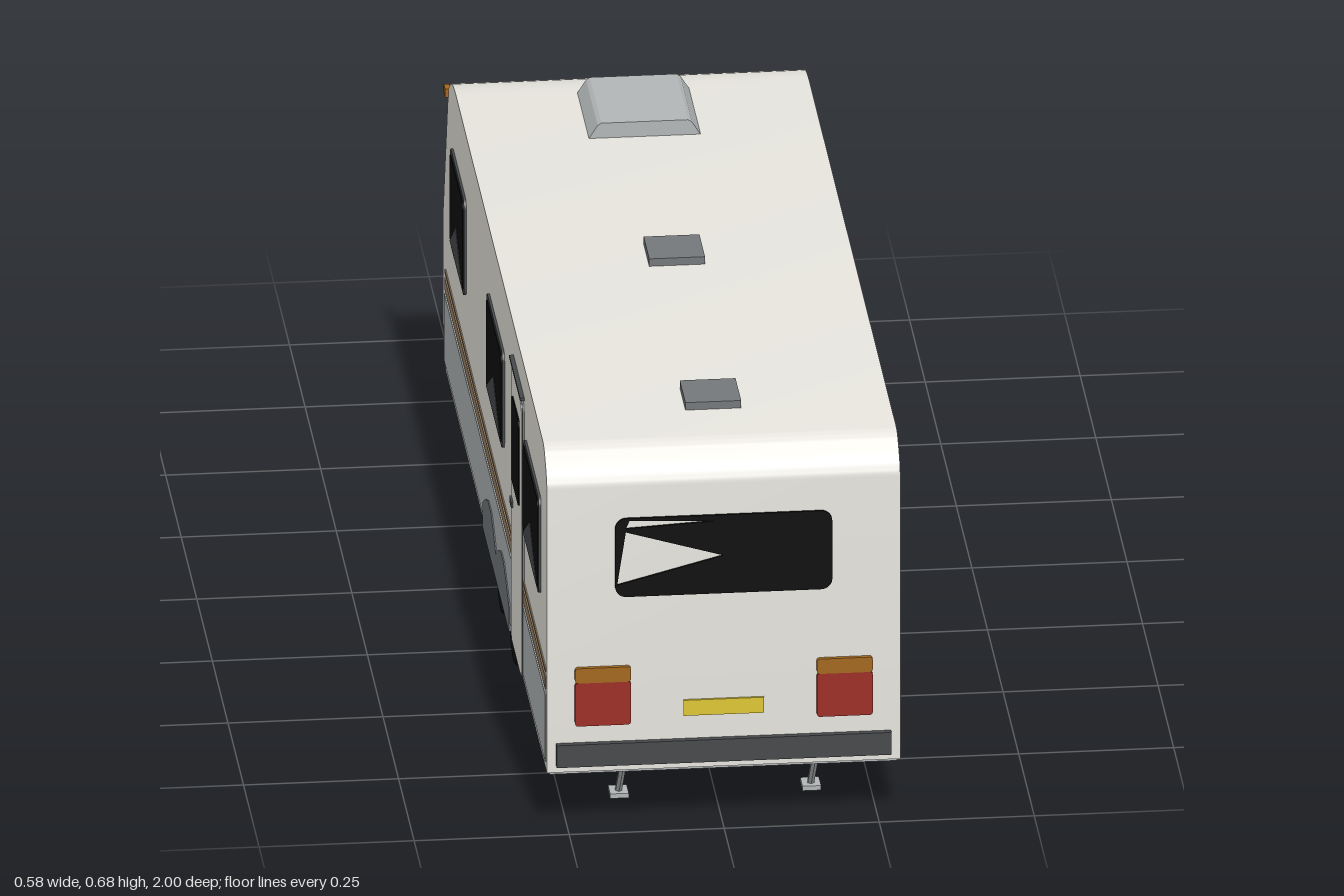
import * as THREE from 'three';
import { toCreasedNormals } from 'three/addons/utils/BufferGeometryUtils.js';

const paint = (name, color) => {
  const m = new THREE.MeshStandardMaterial({ color });
  m.name = name;
  return m;
};

export function createModel() {
  const root = new THREE.Group();
  root.name = 'caravan';
  const white = paint('shell white', 0xe6e4dd);
  const pale = paint('pale grey', 0xb2b6b7);
  const grey = paint('mid grey', 0x74787b);
  const charcoal = paint('charcoal', 0x46494b);
  const black = paint('black', 0x0e0e0e);
  const red = paint('lamp red', 0x9c2f26);
  const amber = paint('lamp amber', 0xa3681f);
  const yellow = paint('plate yellow', 0xdcc634);
  const brown = paint('stripe brown', 0x9c8468);
  const W = 0.285; // half width of the shell

  const add = (name, geo, mat, x = 0, y = 0, z = 0) => {
    const m = new THREE.Mesh(geo, mat);
    m.name = name;
    m.position.set(x, y, z);
    root.add(m);
    return m;
  };
  // Box from its limits
  const box = (name, mat, x0, x1, y0, y1, z0, z1) =>
    add(name, new THREE.BoxGeometry(x1 - x0, y1 - y0, z1 - z0), mat, (x0 + x1) / 2, (y0 + y1) / 2, (z0 + z1) / 2);
  // Square or round bar between two points
  const bar = (name, mat, a, b, r, sides = 8) => {
    const p = new THREE.Vector3(...a), q = new THREE.Vector3(...b);
    const geo = new THREE.CylinderGeometry(r, r, p.distanceTo(q), sides);
    if (sides === 4) geo.rotateY(Math.PI / 4);
    const m = add(name, toCreasedNormals(geo, 0.9), mat);
    m.position.copy(p).lerp(q, 0.5);
    m.quaternion.setFromUnitVectors(new THREE.Vector3(0, 1, 0), q.sub(p).normalize());
    return m;
  };
  const poly = (pts) => new THREE.Shape(pts.map(([a, b]) => new THREE.Vector2(a, b)));
  const rounded = (x0, x1, y0, y1, r) => {
    const s = new THREE.Shape();
    s.absarc(x1 - r, y1 - r, r, 0, Math.PI / 2);
    s.absarc(x0 + r, y1 - r, r, Math.PI / 2, Math.PI);
    s.absarc(x0 + r, y0 + r, r, Math.PI, Math.PI * 1.5);
    s.absarc(x1 - r, y0 + r, r, Math.PI * 1.5, Math.PI * 2);
    return s;
  };
  const extrude = (shape, depth) =>
    new THREE.ExtrudeGeometry(shape, { depth, bevelEnabled: false, curveSegments: 5 });
  // Thin plate on one flank; shape coordinates are (-z, y)
  const flank = (name, shape, mat, side, t) =>
    add(name, extrude(shape, t).rotateY(Math.PI / 2), mat, side > 0 ? W : -W - t);

  // Shell: side profile pushed across the width
  const s = new THREE.Shape();
  s.moveTo(-0.99, 0.105);
  s.lineTo(0.635, 0.105);
  s.quadraticCurveTo(0.662, 0.12, 0.675, 0.18);
  s.lineTo(0.675, 0.365);
  s.lineTo(0.598, 0.595);
  s.bezierCurveTo(0.58, 0.64, 0.53, 0.658, 0.47, 0.658);
  s.lineTo(-0.92, 0.658);
  s.quadraticCurveTo(-0.945, 0.658, -0.96, 0.642);
  s.quadraticCurveTo(-0.99, 0.62, -0.99, 0.6);
  const shell = new THREE.ExtrudeGeometry(s, { depth: 2 * W, bevelEnabled: false, curveSegments: 8 });
  add('shell', toCreasedNormals(shell.rotateY(Math.PI / 2), 0.5), white, -W);
  box('floor', pale, -W + 0.005, W - 0.005, 0.1, 0.106, -0.63, 0.985);

  // Flanks
  for (const side of [1, -1]) {
    flank('lowerPanel', poly([[-0.98, 0.12], [0.64, 0.12], [0.64, 0.238], [-0.98, 0.238]]), pale, side, 0.002);
    for (const [y0, y1] of [[0.248, 0.269], [0.277, 0.284]])
      flank('stripe', poly([[-0.98, y0], [0.63, y0], [0.63, y1], [-0.98, y1]]), brown, side, 0.002);
    for (const [z0, z1] of [[0.65, 0.9], [0.06, 0.315], [-0.525, -0.3]]) {
      flank('windowFrame', rounded(-z1, -z0, 0.376, 0.546, 0.016), charcoal, side, 0.004);
      flank('windowGlass', rounded(-z1 + 0.008, -z0 - 0.008, 0.384, 0.538, 0.012), black, side, 0.0055);
      flank('windowGlint', poly([[-z1 + 0.014, 0.386], [-z0 - 0.014, 0.386], [-(z0 + z1) / 2, 0.452]]), charcoal, side, 0.0062);
    }
    flank('wheelArch', poly([[-0.42, 0.105], [-0.42, 0.15], [-0.375, 0.172], [-0.335, 0.188], [-0.285, 0.188],
      [-0.245, 0.172], [-0.21, 0.15], [-0.17, 0.172], [-0.132, 0.188], [-0.082, 0.188], [-0.04, 0.172],
      [0, 0.15], [0, 0.105]]), grey, side, 0.004);
    box('markerLamp', amber, side * 0.2865 - 0.0045, side * 0.2865 + 0.0045, 0.604, 0.619, -0.605, -0.585);

    // Tandem wheels
    for (const z of [0.31, 0.107]) {
      const w = [[0, -0.018], [0.068, -0.021], [0.075, -0.014], [0.075, 0.014], [0.068, 0.021], [0, 0.018]];
      const tyre = new THREE.LatheGeometry(w.map(([r, h]) => new THREE.Vector2(r, h)), 28).rotateZ(Math.PI / 2);
      add('wheel', toCreasedNormals(tyre, 0.5), black, side * 0.25, 0.075, z);
    }

    // Chassis rail, drawbar arm and corner steadies
    box('chassisRail', pale, side * 0.16 - 0.01, side * 0.16 + 0.01, 0.075, 0.105, -0.67, 0.88);
    bar('drawbarArm', pale, [side * 0.16, 0.095, -0.6], [0, 0.114, -0.925], 0.013, 4);
    for (const [zTop, zFoot] of [[0.92, 0.845], [-0.56, -0.495]]) {
      bar('steadyLeg', pale, [side * 0.155, 0.085, zTop], [side * 0.155, 0.007, zFoot], 0.006, 6);
      box('steadyFoot', pale, side * 0.155 - 0.015, side * 0.155 + 0.015, 0, 0.008, zFoot - 0.018, zFoot + 0.018);
    }

    // Tail lamps
    const c = side * 0.195;
    add('tailLamp', extrude(rounded(c - 0.045, c + 0.045, 0.187, 0.262, 0.005), 0.007), red, 0, 0, 0.99);
    add('turnLamp', extrude(rounded(c - 0.045, c + 0.045, 0.262, 0.288, 0.005), 0.007), amber, 0, 0, 0.99);
  }

  // Entrance door
  flank('doorGap', rounded(-0.628, -0.457, 0.11, 0.592, 0.015), grey, -1, 0.003);
  flank('door', rounded(-0.625, -0.46, 0.113, 0.589, 0.014), white, -1, 0.0045);
  flank('doorWindow', rounded(-0.6, -0.485, 0.4, 0.55, 0.012), black, -1, 0.0065);
  box('doorHandle', charcoal, -0.293, -0.287, 0.354, 0.364, 0.467, 0.495);
  box('doorRainStrip', charcoal, -0.292, -0.284, 0.6, 0.605, 0.455, 0.63);

  // Rear window, bumper and number plate
  const pane = rounded(-0.175, 0.175, 0.409, 0.546, 0.018);
  for (const pts of [[[-0.172, 0.43], [-0.158, 0.522], [0, 0.475]], [[-0.158, 0.528], [-0.152, 0.542], [-0.01, 0.536]]])
    pane.holes.push(new THREE.Path(pts.map(([a, b]) => new THREE.Vector2(a, b))));
  add('rearWindow', extrude(pane, 0.004), black, 0, 0, 0.99);
  box('bumper', charcoal, -0.27, 0.27, 0.117, 0.156, 0.985, 1);
  box('numberPlate', yellow, -0.065, 0.065, 0.197, 0.224, 0.989, 0.994);

  // Sloping nose window and locker hatch
  const slope = Math.atan2(0.077, 0.23);
  const nose = add('noseWindow', new THREE.BoxGeometry(0.45, 0.232, 0.006), black, 0, 0.482, -0.638);
  nose.rotation.x = slope;
  add('lockerHatch', extrude(rounded(-0.135, 0.135, 0.225, 0.33, 0.012), 0.005), grey, 0, 0, -0.68);

  // Roof hatch and vents
  add('roofHatch', extrude(poly([[-0.092, 0.655], [0.092, 0.655], [0.076, 0.68], [0.07, 0.684], [-0.07, 0.684],
    [-0.076, 0.68]]), 0.185), pale, 0, 0, -0.46);
  for (const z of [0.2, 0.78]) box('roofVent', grey, -0.045, 0.045, 0.655, 0.671, z - 0.045, z + 0.045);

  // Coupling with lever
  box('coupling', charcoal, -0.013, 0.013, 0.1, 0.126, -1, -0.92);
  bar('couplingLever', charcoal, [0, 0.12, -0.925], [0, 0.157, -0.955], 0.005);
  bar('leverGrip', charcoal, [0, 0.157, -0.95], [0, 0.143, -0.998], 0.005);

  // Jockey wheel
  bar('jockeyPost', pale, [-0.05, 0.025, -0.835], [-0.05, 0.212, -0.835], 0.007);
  bar('jockeyHandle', charcoal, [-0.05, 0.215, -0.86], [-0.05, 0.215, -0.81], 0.004);
  bar('jockeyClamp', charcoal, [-0.05, 0.11, -0.835], [-0.03, 0.11, -0.85], 0.01);
  bar('jockeyWheel', black, [-0.057, 0.024, -0.835], [-0.043, 0.024, -0.835], 0.024, 18);

  return root;
}
